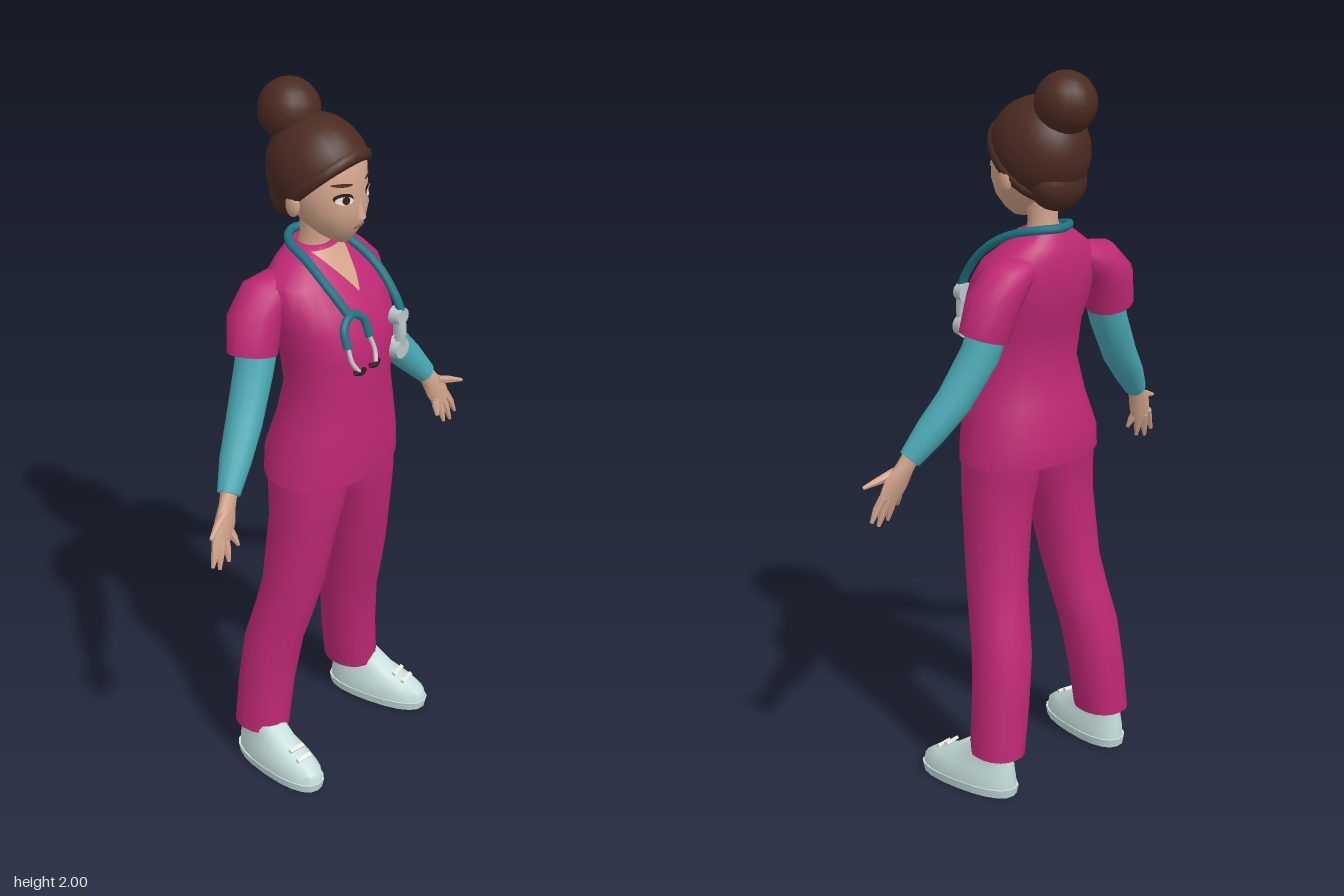
import * as THREE from 'three';
import { toCreasedNormals } from 'three/addons/utils/BufferGeometryUtils.js';

const V = (x, y, z) => new THREE.Vector3(x, y, z);
const mat = (name, color) => {
  const m = new THREE.MeshStandardMaterial({ color, side: THREE.DoubleSide });
  m.name = name;
  return m;
};

// Closed skin over rings { c, u, v }, where u x v points along the loft
function loft(rings, sides = 18, e = 1) {
  const pos = [], idx = [], pw = t => Math.sign(t) * Math.abs(t) ** e;
  rings.forEach(({ c, u, v }) => {
    for (let j = 0; j < sides; j++) {
      const a = j / sides * Math.PI * 2;
      const p = c.clone().addScaledVector(u, pw(Math.cos(a))).addScaledVector(v, pw(Math.sin(a)));
      pos.push(p.x, p.y, p.z);
    }
  });
  const last = rings.length - 1, base = rings.length * sides;
  for (const r of [rings[0], rings[last]]) pos.push(r.c.x, r.c.y, r.c.z);
  for (let j = 0; j < sides; j++) {
    const k = (j + 1) % sides;
    for (let i = 0; i < last; i++) {
      const a = i * sides + j, b = i * sides + k;
      idx.push(a, b, b + sides, a, b + sides, a + sides);
    }
    idx.push(base, k, j, base + 1, last * sides + j, last * sides + k);
  }
  const g = new THREE.BufferGeometry();
  g.setAttribute('position', new THREE.Float32BufferAttribute(pos, 3));
  g.setIndex(idx);
  return toCreasedNormals(g, 0.8);
}

// Upright body from rows [y, centre x, half width, back z, front z], rising in y
const body = (rows, sides, e) => loft(rows.map(([y, cx, rx, b, f]) =>
  ({ c: V(cx, y, (b + f) / 2), u: V(0, 0, (f - b) / 2), v: V(rx, 0, 0) })), sides, e);

// Limb from rows [x, y, z, in-plane radius, depth radius], following its path
function limb(rows, side = 1, sides = 12) {
  const pts = rows.map(r => V(r[0] * side, r[1], r[2]));
  return loft(rows.map((r, i) => {
    const t = pts[Math.min(i + 1, pts.length - 1)].clone().sub(pts[Math.max(i - 1, 0)]).normalize();
    const u = t.clone().cross(V(0, 0, 1)).normalize(), v = t.clone().cross(u);
    return { c: pts[i], u: u.multiplyScalar(r[3]), v: v.multiplyScalar(r[4] ?? r[3]) };
  }), sides);
}

// Lays a flat geometry on the front of an upright body
function drape(geo, rows, e, off) {
  const p = geo.attributes.position;
  for (let i = 0; i < p.count; i++) {
    const x = p.getX(i), y = p.getY(i);
    let k = 0;
    while (k < rows.length - 2 && rows[k + 1][0] < y) k++;
    const t = (y - rows[k][0]) / (rows[k + 1][0] - rows[k][0]);
    const [, , rx, b, f] = rows[k].map((n, j) => n + (rows[k + 1][j] - n) * t);
    const s = Math.max(0, 1 - Math.min(1, Math.abs(x) / rx) ** (2 / e)) ** (e / 2);
    p.setZ(i, (b + f) / 2 + (f - b) / 2 * s + off);
  }
  geo.computeVertexNormals();
  return geo;
}

const tube = (pts, r) => new THREE.TubeGeometry(
  new THREE.CatmullRomCurve3(pts.map(p => V(...p))), pts.length * 5, r, 8);

export function createModel() {
  const root = new THREE.Group();
  const pink = mat('scrubs pink', 0xbe2873), teal = mat('sleeve teal', 0x4aa9b4);
  const tubing = mat('tubing teal', 0x1d7382), skin = mat('skin', 0xd0a389);
  const hair = mat('hair brown', 0x4a2a20), shoe = mat('shoe mint', 0xc6dedb);
  const metal = mat('pale metal', 0xb9c6c8), dark = mat('dark brown', 0x2b1a16);
  const white = mat('eye white', 0xeeeae6), lip = mat('lip rose', 0xb5766a);
  const add = (name, geo, m, parent = root) => {
    const mesh = new THREE.Mesh(geo, m);
    mesh.name = name;
    parent.add(mesh);
    return mesh;
  };
  const ball = (name, m, x, y, z, rx, ry, rz) => {
    const b = add(name, new THREE.SphereGeometry(1, 16, 12), m);
    b.position.set(x, y, z);
    b.scale.set(rx, ry, rz);
    return b;
  };

  // Tunic
  const tunic = [
    [0.935, 0, 0.213, -0.14, 0.155], [1.0, 0, 0.205, -0.145, 0.16], [1.1, 0, 0.178, -0.115, 0.16],
    [1.2, 0, 0.157, -0.095, 0.155], [1.3, 0, 0.165, -0.11, 0.162], [1.38, 0, 0.178, -0.135, 0.152],
    [1.44, 0, 0.186, -0.14, 0.118], [1.5, 0, 0.178, -0.14, 0.072], [1.54, 0, 0.12, -0.13, 0.03],
    [1.575, 0, 0.07, -0.112, 0.0]];
  add('tunic', body(tunic, 28, 0.9), pink);

  // V-neck opening and neck
  const opening = new THREE.PlaneGeometry(2, 0.1, 8, 6).translate(0, 1.52, 0);
  const op = opening.attributes.position;
  for (let i = 0; i < op.count; i++) op.setX(i, op.getX(i) * (0.002 + 0.6 * (op.getY(i) - 1.47)));
  add('neckOpening', drape(opening, tunic, 0.9, 0.007), skin);
  add('neck', body([[1.5, 0, 0.06, -0.11, 0.02], [1.56, 0, 0.047, -0.095, -0.005],
    [1.6, 0, 0.041, -0.085, -0.008], [1.68, 0, 0.045, -0.09, 0.01]], 14), skin);

  // Head and face
  const head = [
    [1.598, 0, 0.018, 0.01, 0.06], [1.62, 0, 0.048, -0.03, 0.08], [1.655, 0, 0.08, -0.08, 0.1],
    [1.7, 0, 0.104, -0.11, 0.105], [1.75, 0, 0.115, -0.13, 0.098], [1.81, 0, 0.115, -0.13, 0.094],
    [1.87, 0, 0.09, -0.11, 0.06]];
  add('head', body(head, 24), skin);
  const nose = add('nose', new THREE.ConeGeometry(0.016, 0.055, 8), skin);
  nose.position.set(0, 1.705, 0.103);
  const disc = (name, x, y, rx, ry, m, off, tilt = 0) => add(name, drape(
    new THREE.CircleGeometry(1, 16).scale(rx, ry, 1).rotateZ(tilt).translate(x, y, 0), head, 1, off), m);
  disc('mouth', 0, 1.653, 0.024, 0.007, lip, 0.004);
  for (const s of [-1, 1]) {
    disc('eyeLine', s * 0.05, 1.741, 0.026, 0.014, dark, 0.003, s * 0.12);
    disc('eyeWhite', s * 0.05, 1.736, 0.023, 0.011, white, 0.005, s * 0.12);
    disc('iris', s * 0.048, 1.737, 0.01, 0.011, dark, 0.007);
    disc('eyebrow', s * 0.052, 1.777, 0.028, 0.005, hair, 0.004, s * 0.12);
    ball('ear', skin, s * 0.116, 1.715, -0.025, 0.012, 0.032, 0.022);
  }

  // Swept-back hair with rolled hairline and bun
  const hairdo = new THREE.Group();
  hairdo.name = 'hair';
  hairdo.position.set(0, 1.78, -0.035);
  hairdo.scale.x = 0.88;
  root.add(hairdo);
  const cap = add('hairCap', new THREE.SphereGeometry(0.144, 24, 14, 0, Math.PI * 2, 0, Math.PI * 0.6), hair, hairdo);
  cap.rotation.x = -0.75;
  const roll = add('hairline', new THREE.TorusGeometry(0.127, 0.019, 8, 28)
    .rotateX(Math.PI / 2).translate(0, -0.038, 0), hair, hairdo);
  roll.rotation.x = -0.75;
  ball('napeHair', hair, 0, 1.705, -0.105, 0.09, 0.075, 0.06);
  ball('bun', hair, 0, 1.916, -0.13, 0.083, 0.084, 0.084);

  for (const s of [-1, 1]) {
    // Arms
    add('shortSleeve', limb([[0.11, 1.487, -0.07, 0.04, 0.055], [0.17, 1.462, -0.08, 0.062, 0.07],
      [0.213, 1.41, -0.078, 0.075, 0.072], [0.235, 1.325, -0.068, 0.07, 0.066]], s, 14), pink);
    add('longSleeve', limb([[0.205, 1.38, -0.068, 0.055], [0.24, 1.28, -0.06, 0.053],
      [0.312, 1.16, -0.035, 0.049], [0.375, 1.085, -0.012, 0.043], [0.43, 1.017, 0.01, 0.031]], s, 14), teal);

    // Hands
    const hand = new THREE.Group();
    hand.name = s > 0 ? 'leftHand' : 'rightHand';
    root.add(hand);
    add('palm', limb([[0.42, 1.035, 0.006, 0.025, 0.022], [0.442, 0.995, 0.016, 0.027, 0.02],
      [0.465, 0.955, 0.026, 0.038, 0.019], [0.484, 0.912, 0.034, 0.034, 0.013]], s), skin, hand);
    const fingers = [[0.455, 0.932, 0.442, 0.882, 0.05], [0.472, 0.918, 0.478, 0.848, 0.048],
      [0.49, 0.915, 0.512, 0.84, 0.046], [0.505, 0.925, 0.537, 0.856, 0.044], [0.465, 0.985, 0.553, 0.955, 0.055]];
    for (const [x, y, tx, ty, tz] of fingers) {
      add('finger', limb([[x, y, 0.03, 0.012], [(x + tx) / 2, (y + ty) / 2, 0.04, 0.011],
        [tx, ty, tz, 0.005]], s, 7), skin, hand);
    }

    // Trouser legs
    add('trouserLeg', body([
      [0.115, 0.207, 0.07, -0.16, 0.0], [0.25, 0.19, 0.077, -0.155, 0.003], [0.4, 0.17, 0.08, -0.145, 0.022],
      [0.5, 0.155, 0.08, -0.12, 0.05], [0.6, 0.141, 0.08, -0.1, 0.075], [0.8, 0.118, 0.09, -0.09, 0.108],
      [0.87, 0.107, 0.1, -0.095, 0.118], [0.97, 0.1, 0.1, -0.11, 0.125]]
      .map(([y, cx, ...r]) => [y, cx * s, ...r]), 18, 0.92), pink);

    // Shoes, toes turned out
    const foot = new THREE.Group();
    foot.name = s > 0 ? 'leftShoe' : 'rightShoe';
    foot.position.x = s * 0.23;
    foot.rotation.y = s * 0.14;
    root.add(foot);
    add('sole', body([[0, 0, 0.062, -0.15, 0.165], [0.025, 0, 0.066, -0.155, 0.17]], 20, 0.85), shoe, foot);
    add('shoeUpper', body([[0.022, 0, 0.063, -0.15, 0.166], [0.05, 0, 0.063, -0.148, 0.16],
      [0.075, 0, 0.055, -0.145, 0.125], [0.1, 0, 0.048, -0.142, 0.06], [0.14, 0, 0.044, -0.138, 0.0]],
    20, 0.9), shoe, foot);
    for (const [y, z] of [[0.1, 0.075], [0.083, 0.105]]) {
      const lace = add('lace', new THREE.BoxGeometry(0.05, 0.009, 0.012), white, foot);
      lace.position.set(0, y, z);
      lace.rotation.x = 0.6;
    }
  }

  // Stethoscope draped round the neck
  add('stethoscopeTube', tube([[-0.085, 1.43, 0.145], [-0.1, 1.5, 0.085], [-0.09, 1.555, 0.0],
    [-0.065, 1.58, -0.08], [0, 1.585, -0.12], [0.065, 1.58, -0.08], [0.09, 1.555, 0.0],
    [0.1, 1.5, 0.085], [0.1, 1.43, 0.145], [0.1, 1.39, 0.165]], 0.012), tubing);
  add('tubeFork', tube([[-0.132, 1.37, 0.168], [-0.125, 1.42, 0.15], [-0.085, 1.443, 0.142],
    [-0.05, 1.425, 0.153], [-0.043, 1.375, 0.17]], 0.011), tubing);
  for (const s of [-1, 1]) {
    const x = t => -0.0875 + s * t;
    add('earTube', tube([[x(0.044), 1.38, 0.168], [x(0.048), 1.34, 0.185], [x(0.035), 1.31, 0.2]], 0.006), metal);
    add('earTip', tube([[x(0.05), 1.312, 0.195], [x(0.03), 1.308, 0.202], [x(0.012), 1.31, 0.198]], 0.007), dark);
  }
  for (const [y, r] of [[1.375, 0.028], [1.28, 0.033]]) {
    const piece = add('chestPiece', new THREE.CylinderGeometry(r * 0.85, r, 0.03, 16).rotateX(Math.PI / 2), metal);
    piece.position.set(0.1, y, 0.158);
  }
  add('chestPieceStem', tube([[0.1, 1.37, 0.16], [0.1, 1.33, 0.165], [0.1, 1.29, 0.16]], 0.016), metal);
  return root;
}
